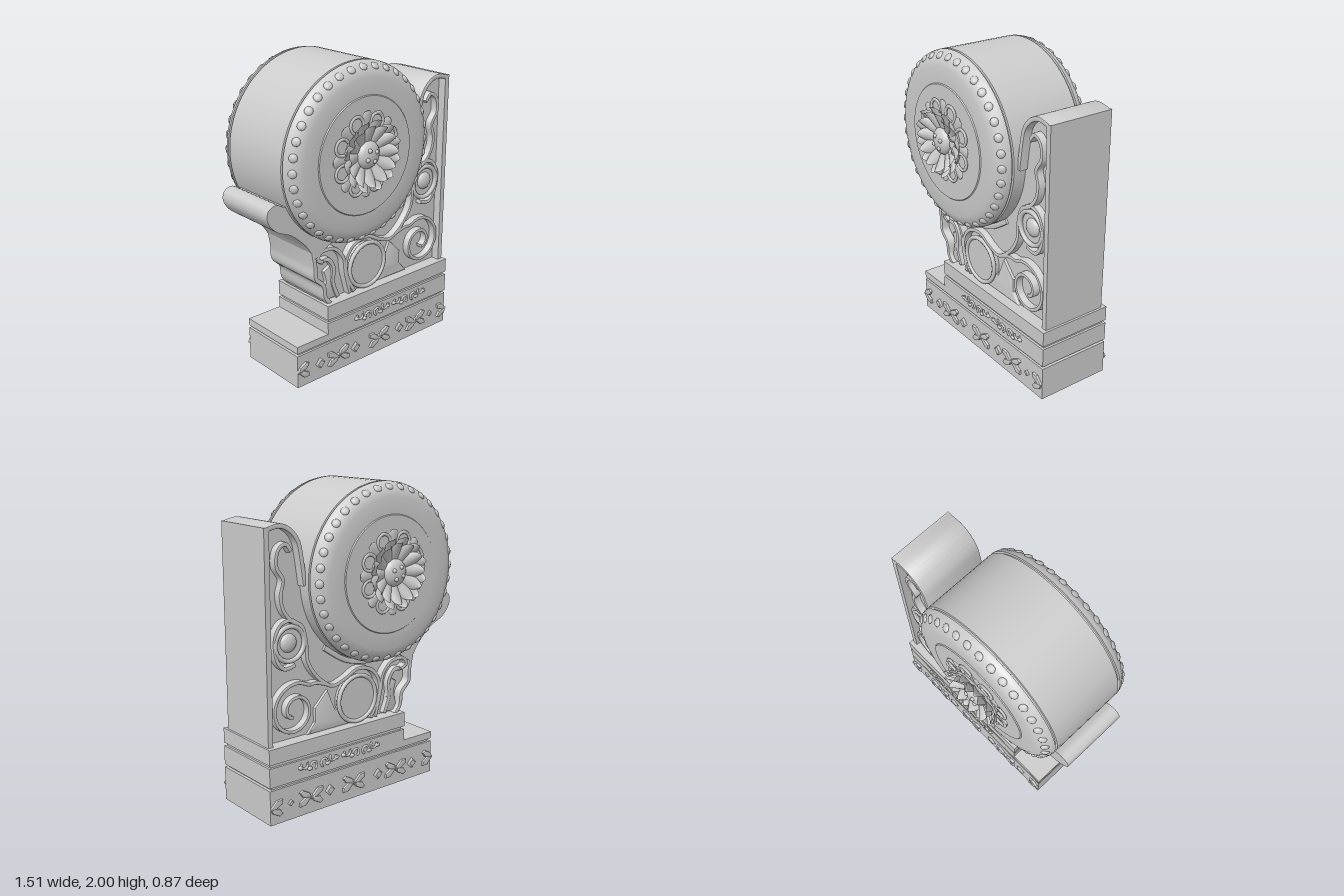
import * as THREE from 'three';
import { toCreasedNormals } from 'three/addons/utils/BufferGeometryUtils.js';
import { ParametricGeometry } from 'three/addons/geometries/ParametricGeometry.js';

const mat = new THREE.MeshStandardMaterial({ color: 0xcccccc });
const thin = new THREE.MeshStandardMaterial({ color: 0xcccccc, side: THREE.DoubleSide });
const DRUM = { x: -0.11, y: 1.44 };

function add(parent, name, geo, x = 0, y = 0, z = 0, material = mat) {
  const mesh = new THREE.Mesh(geo, material);
  mesh.name = name;
  mesh.position.set(x, y, z);
  parent.add(mesh);
  return mesh;
}

const vec = (pts) => pts.map(([x, y]) => new THREE.Vector2(x, y));

// Prism with its outline in x,y, centred on z = 0
function prism(points, half, bevel = 0) {
  const geo = new THREE.ExtrudeGeometry(new THREE.Shape(points), {
    depth: 2 * (half - bevel), bevelEnabled: bevel > 0, bevelSize: bevel,
    bevelThickness: bevel, bevelOffset: -bevel, bevelSegments: 2,
  });
  geo.translate(0, 0, -(half - bevel));
  return toCreasedNormals(geo, 0.6);
}

// Band of constant width along a smooth path, running through the full depth
function band(pts, width, half, steps = 48) {
  const curve = new THREE.SplineCurve(vec(pts));
  const left = [], right = [];
  for (let i = 0; i <= steps; i++) {
    const p = curve.getPoint(i / steps), t = curve.getTangent(i / steps);
    const n = new THREE.Vector2(-t.y, t.x).multiplyScalar(width / 2);
    left.push(p.clone().add(n));
    right.unshift(p.clone().sub(n));
  }
  return prism([...left, ...right], half, 0.007);
}

function cylinderZ(r, depth, sides = 40) {
  return new THREE.CylinderGeometry(r, r, depth, sides).rotateX(Math.PI / 2);
}

function buildBase(g) {
  const block = (name, x0, x1, y0, y1, half) =>
    add(g, name, new THREE.BoxGeometry(x1 - x0, y1 - y0, 2 * half), (x0 + x1) / 2, (y0 + y1) / 2, 0);
  block('plinth', -0.58, 0.75, 0, 0.222, 0.25);
  block('plinthGroove', -0.56, 0.73, 0.22, 0.242, 0.235);
  block('plinthStep', -0.58, 0.75, 0.24, 0.288, 0.25);
  block('middleCourse', -0.33, 0.75, 0.28, 0.364, 0.25);
  block('upperGroove', -0.315, 0.735, 0.36, 0.387, 0.235);
  block('topSlab', -0.33, 0.75, 0.385, 0.482, 0.25);
}

// Carved friezes for one side, facing +z
function buildFriezes(g) {
  const leaf = prism(vec([[-0.05, 0], [-0.02, 0.022], [0.035, 0.022], [0.05, 0], [0.015, -0.018]]), 0.01, 0.004);
  const diamond = new THREE.CylinderGeometry(0.026, 0.042, 0.02, 4).rotateX(Math.PI / 2);
  for (const x of [-0.4, -0.1, 0.3, 0.6]) {
    add(g, 'diamond', diamond, x, 0.11, 0.255).scale.setScalar(x === 0.6 ? 0.55 : 1);
  }
  for (const x of [-0.54, -0.25, 0.11, 0.45, 0.71]) {
    const edge = Math.abs(x) > 0.5;
    for (const sx of edge ? [-Math.sign(x)] : [-1, 1]) for (const sy of [-1, 1]) {
      const m = add(g, 'friezeLeaf', leaf, x + sx * (edge ? 0 : 0.045), 0.11 + sy * 0.022, 0.257);
      m.rotation.z = sx * sy * 0.5 + (sx < 0 ? Math.PI : 0);
    }
    if (!edge) add(g, 'friezeBud', diamond, x, 0.11, 0.255).scale.set(0.6, 0.5, 1);
  }
  // Curling vine on the middle course
  const curl = new THREE.TorusGeometry(0.024, 0.008, 6, 14, 4.4);
  const bud = new THREE.SphereGeometry(0.017, 8, 6);
  for (const cx of [0.05, 0.385]) for (const s of [-1, 1]) {
    for (let i = 0; i < 2; i++) {
      const x = cx + s * (0.04 + i * 0.07), y = 0.315 + (i ? 0.012 : -0.008);
      const m = add(g, 'vineCurl', curl, x, y, 0.253);
      m.rotation.set(0, s < 0 ? Math.PI : 0, i * 2.4);
      add(g, 'vineBud', bud, x + s * 0.03, y - 0.012, 0.252).scale.set(1.1, 0.8, 0.8);
    }
  }
}

function buildBody(g) {
  const waist = [[-0.42, 0.88], [-0.4, 0.76], [-0.395, 0.68], [-0.335, 0.615], [-0.32, 0.53], [-0.28, 0.475]];
  const back = [[0.45, 1.42], [0.477, 1.6], [0.5, 1.69], [0.555, 1.755], [0.63, 1.783], [0.725, 1.765]];
  // Recessed core that the carving stands out from
  add(g, 'recessedCore', prism([
    ...vec([...waist].reverse()), ...vec([[-0.3, 1.1], [0.2, 1.25]]), ...vec(back), ...vec([[0.725, 0.475]]),
  ], 0.165));
  // Curved front support for the drum
  const outer = new THREE.SplineCurve(vec([[-0.2, 0.93], [-0.33, 0.86], [-0.4, 0.82], [-0.43, 0.86], [-0.48, 0.93],
    [-0.58, 1.02], [-0.69, 1.075], [-0.75, 1.15], [-0.745, 1.215], [-0.69, 1.24], [-0.635, 1.215]])).getPoints(60);
  add(g, 'frontSupport', prism([...outer, ...vec([[-0.5, 1.2], [-0.3, 1.05]])], 0.22));
  add(g, 'waistEdge', band(waist, 0.03, 0.22));
  // Tall back post: thick edges around a recessed panel
  add(g, 'postBack', new THREE.BoxGeometry(0.035, 1.3, 0.44), 0.7175, 1.13, 0);
  add(g, 'postTop', band(back, 0.03, 0.22));
  add(g, 'drumCradle', band([[-0.48, 0.99], [-0.3, 0.9], [-0.11, 0.865], [0.1, 0.9], [0.28, 1.01]], 0.035, 0.18));

  // Scrolls
  add(g, 'postScroll', band([[0.54, 1.63], [0.58, 1.675], [0.635, 1.64], [0.645, 1.55], [0.6, 1.47],
    [0.62, 1.38], [0.6, 1.29], [0.54, 1.22], [0.47, 1.18], [0.44, 1.08], [0.43, 0.96], [0.36, 0.85],
    [0.25, 0.77], [0.15, 0.79], [0.04, 0.84], [-0.08, 0.81], [-0.14, 0.72], [-0.13, 0.6], [-0.07, 0.49]],
  0.026, 0.212, 110));
  add(g, 'eyeScroll', band([[0.47, 1.17], [0.54, 1.225], [0.62, 1.21], [0.665, 1.13], [0.655, 1.01],
    [0.6, 0.94], [0.52, 0.95]], 0.026, 0.21));
  add(g, 'frontScroll', band([[-0.33, 0.77], [-0.375, 0.8], [-0.34, 0.845], [-0.24, 0.835], [-0.17, 0.76],
    [-0.15, 0.64], [-0.11, 0.49]], 0.026, 0.214));
  add(g, 'frontScrollInner', band([[-0.34, 0.77], [-0.28, 0.77], [-0.235, 0.7], [-0.24, 0.6], [-0.2, 0.49]], 0.03, 0.2));
  add(g, 'frontLeaf', prism(vec([[-0.32, 0.49], [-0.21, 0.49], [-0.22, 0.6], [-0.26, 0.72], [-0.31, 0.69],
    [-0.29, 0.62]]), 0.19, 0.012));
  const spiral = [[0.27, 0.78], [0.36, 0.81]];
  for (let i = 0; i <= 22; i++) {
    const a = 2.2 - i * 0.44, r = 0.18 - i * 0.0062;
    spiral.push([0.525 + r * Math.cos(a), 0.665 + r * Math.sin(a)]);
  }
  add(g, 'spiralScroll', band(spiral, 0.024, 0.212, 120));
  add(g, 'lowerPanel', prism(vec([[-0.1, 0.48], [0.42, 0.48], [0.36, 0.55], [0.36, 0.64], [0.26, 0.74],
    [0.2, 0.6], [-0.1, 0.6]]), 0.185, 0.012));

  // Round medallions
  add(g, 'medallion', cylinderZ(0.15, 0.41), 0.04, 0.645);
  add(g, 'eyeDisc', cylinderZ(0.105, 0.38), 0.555, 1.085);
  for (const s of [-1, 1]) {
    add(g, 'medallionRim', new THREE.TorusGeometry(0.15, 0.014, 8, 40), 0.04, 0.645, s * 0.205);
    add(g, 'eyeRim', new THREE.TorusGeometry(0.105, 0.015, 8, 36), 0.555, 1.085, s * 0.2);
    add(g, 'eyeDome', new THREE.SphereGeometry(0.058, 20, 12), 0.56, 1.09, s * 0.19).scale.z = 0.5;
  }
}

function buildDrum(g) {
  const half = [[0, 0.349], [0.362, 0.349], [0.367, 0.343], [0.47, 0.343], [0.505, 0.332], [0.535, 0.312],
    [0.555, 0.285], [0.56, 0.262], [0.548, 0.259], [0.548, 0.25], [0.56, 0.247]];
  const profile = vec([...half.map(([r, z]) => [r, -z]), ...[...half].reverse()]);
  const geo = toCreasedNormals(new THREE.LatheGeometry(profile, 72).rotateX(Math.PI / 2), 0.5);
  add(g, 'drum', geo, DRUM.x, DRUM.y, 0);
}

// Studs and flower for one drum face, facing +z
function buildDrumFace(g) {
  const stud = new THREE.SphereGeometry(0.027, 8, 6);
  for (let i = 0; i < 36; i++) {
    const spoke = new THREE.Group();
    spoke.name = 'rimStud';
    spoke.position.set(DRUM.x, DRUM.y, 0);
    spoke.rotation.z = (i / 36) * Math.PI * 2;
    const m = add(spoke, 'stud', stud, 0.53, 0, 0.312);
    m.rotation.y = 0.85;
    m.scale.z = 0.5;
    g.add(spoke);
  }
  // Petal sweeps outward from r0 to r1 and lifts from z0 to z1, with a pointed tip
  const petal = (r0, r1, z0, z1, width, cup) => new ParametricGeometry((u, v, out) => {
    const w = width * Math.pow(Math.sin(Math.PI * (0.12 + 0.88 * v)), 0.8);
    const s = 2 * u - 1;
    out.set(r0 + (r1 - r0) * Math.sin(v * Math.PI / 2), s * w,
      z0 + (z1 - z0) * v * v + cup * (1 - s * s) * Math.sin(Math.PI * v));
  }, 6, 8);
  const flower = new THREE.Group();
  flower.name = 'flower';
  flower.position.set(DRUM.x - 0.005, DRUM.y + 0.015, 0);
  const ring = (name, geo, count, offset) => {
    for (let i = 0; i < count; i++) {
      add(flower, name, geo, 0, 0, 0, thin).rotation.z = ((i + offset) / count) * Math.PI * 2;
    }
  };
  ring('innerPetal', petal(0.07, 0.19, 0.365, 0.435, 0.042, 0.022), 12, 0);
  ring('outerPetal', petal(0.08, 0.22, 0.358, 0.425, 0.045, 0.016), 12, 0.5);
  // Curled leaf collar behind the petals
  const collar = new THREE.TorusGeometry(0.05, 0.011, 6, 16, 4.6);
  for (let i = 0; i < 8; i++) {
    const a = ((i + 0.5) / 8) * Math.PI * 2;
    const m = add(flower, 'collarCurl', collar, 0.205 * Math.cos(a), 0.205 * Math.sin(a), 0.356);
    m.rotation.z = a - 2.3;
    m.scale.z = 0.8;
  }
  ring('collarLeaf', petal(0.13, 0.265, 0.352, 0.36, 0.04, 0.01), 8, 0);
  add(flower, 'flowerBed', cylinderZ(0.17, 0.02, 32), 0, 0, 0.35);
  add(flower, 'flowerHeart', new THREE.SphereGeometry(0.085, 24, 14), 0, 0, 0.365).scale.z = 0.55;
  for (let i = 0; i < 4; i++) {
    const a = i * 1.57 + 0.5;
    add(flower, 'seed', new THREE.SphereGeometry(0.014, 8, 6), 0.04 * Math.cos(a), 0.04 * Math.sin(a), 0.405);
  }
  g.add(flower);
}

export function createModel() {
  const root = new THREE.Group();
  root.name = 'drumStone';
  const part = (name, build) => {
    const g = new THREE.Group();
    g.name = name;
    build(g);
    root.add(g);
    return g;
  };
  part('base', buildBase);
  part('body', buildBody);
  part('drumBody', buildDrum);
  // Both faces carry the same carving, mirrored in z
  for (const s of [1, -1]) {
    part('friezes', buildFriezes).scale.z = s;
    part('drumFace', buildDrumFace).scale.z = s;
  }
  return root;
}
